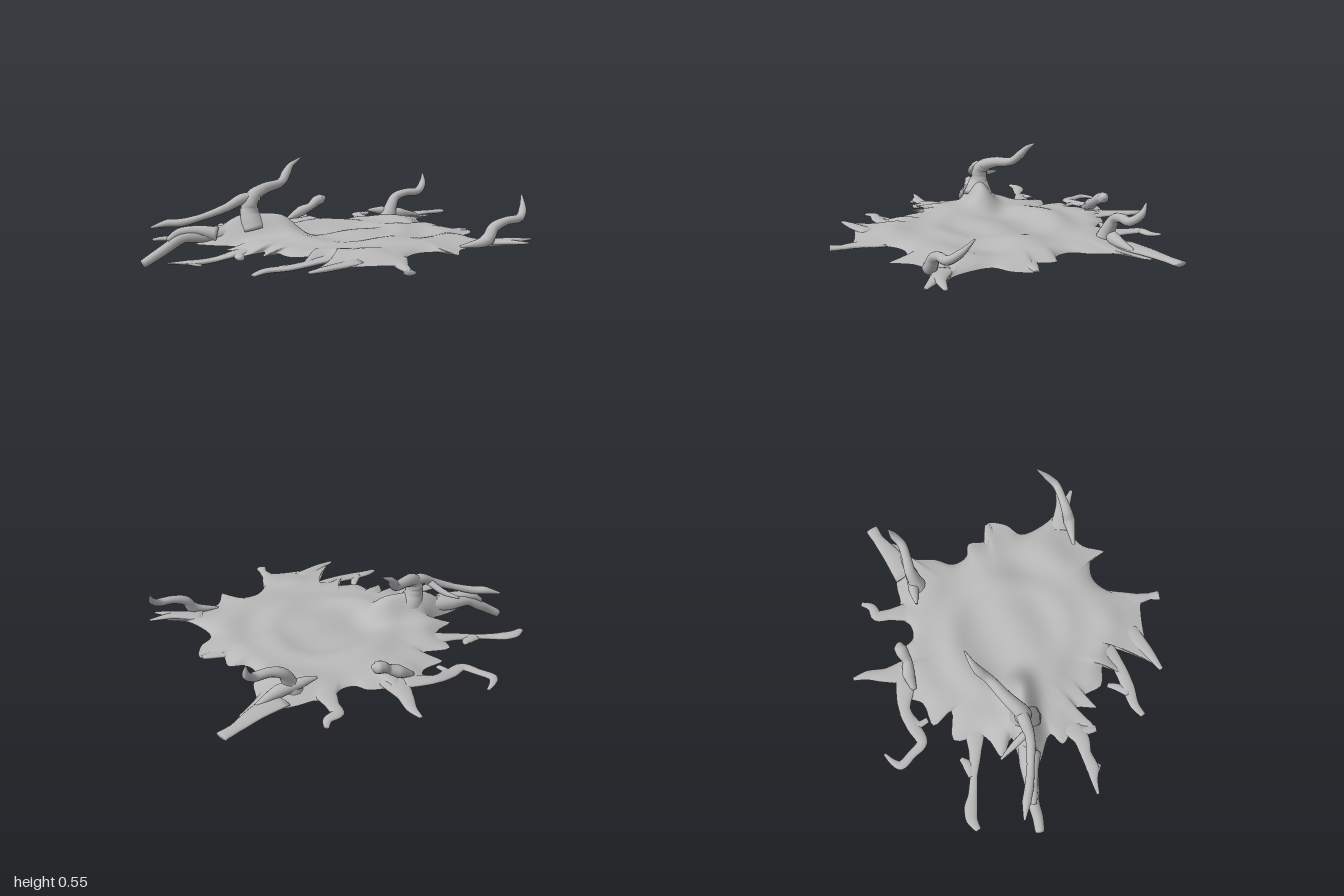
import * as THREE from 'three';

const gray = new THREE.MeshStandardMaterial({ color: 0xb8b8b8 });
gray.name = 'slime gray';

// Rim of the puddle as x, z pairs in hundredths of a unit
const RIM = [
  -8, -78, -4, -62, 7, -59, 12, -54, 20, -55, 25, -62, 29, -66, 33, -60, 43, -61, 56, -62, 66, -66, 72, -62, 61, -51, 59, -38, 55, -28,
  59, -20, 67, -18, 68, -7, 79, -6, 77, 5, 70, 13, 75, 27, 82, 35, 90, 38, 80, 42, 67, 43, 59, 48, 54, 60, 50, 52, 38, 51,
  30, 58, 27, 68, 24, 78, 19, 76, 6, 75, -7, 76, -19, 81, -5, 68, -1, 59, -8, 54, -20, 59, -14, 50, -26, 47, -31, 37, -38, 43,
  -37, 32, -48, 40, -47, 30, -56, 22, -50, 16, -64, 9, -72, 3, -62, -2, -50, -5, -60, -11, -48, -19, -48, -36, -32, -36,
  -39, -46, -26, -51, -22, -59, -12, -64,
];
const CX = 0.08;

const bump = (d, w, p = 2) => Math.exp(-Math.pow(Math.abs(d) / w, p));
const baseY = (x) => 0.14 + 0.018 * x;

// Upper surface: shallow basin, raised lip, soft lumps and the long left ridge
function topY(x, z, t) {
  const r = Math.hypot(x - 0.08, z);
  const lumps = 0.012 * Math.sin(9 * x + 2 * z) * Math.cos(8 * z - 3 * x) + 0.008 * Math.sin(17 * z + 6 * x);
  const lip = 0.02 * bump(r - 0.32, 0.08) + 0.018 * bump(r - 0.55, 0.1);
  const frontHill = 0.025 * bump(x - 0.12, 0.1) * bump(z - 0.58, 0.09);
  const ridge = 0.13 * bump(x + 0.42, 0.25, 4) * bump(z - 0.025, 0.08);
  return baseY(x) + (1 - t ** 6) * (0.024 + lumps + lip + frontHill) + (1 - t ** 10) * ridge;
}

function surface(positions, index) {
  const g = new THREE.BufferGeometry();
  g.setAttribute('position', new THREE.Float32BufferAttribute(positions, 3));
  g.setIndex(index);
  g.computeVertexNormals();
  return g;
}

// One skin of the puddle: rings that blend from a smoothed outline to the ragged rim
function skin(heightAt, up) {
  const pts = [];
  for (let i = 0; i < RIM.length; i += 2) pts.push(new THREE.Vector3(RIM[i] / 100 - CX, 0, RIM[i + 1] / 100));
  const curve = new THREE.CatmullRomCurve3(pts, true, 'centripetal');
  const n = pts.length * 4, rings = 26, reach = 14, pos = [], index = [];
  const rim = Array.from({ length: n }, (_, i) => curve.getPoint(i / n));
  const smooth = rim.map((_, i) => {
    const sum = new THREE.Vector3();
    for (let k = -reach; k <= reach; k++) sum.add(rim[(i + k + n) % n]);
    return sum.divideScalar(2 * reach + 1);
  });
  for (let k = 0; k <= rings; k++) {
    const t = k / rings;
    for (let i = 0; i < n; i++) {
      const p = smooth[i].clone().lerp(rim[i], t ** 4).multiplyScalar(t);
      pos.push(p.x + CX, heightAt(p.x + CX, p.z, t), p.z);
      if (k === rings) continue;
      const a = k * n + i, b = k * n + (i + 1) % n, c = a + n, d = b + n;
      if (up) index.push(a, b, d, a, d, c);
      else index.push(a, d, b, a, c, d);
    }
  }
  return surface(pos, index);
}

// Tapered tendril along [x, y, z, radius] points, at most 2 * maxHalf thick
function tendrilGeometry(points, flat, maxHalf) {
  const curve = new THREE.CatmullRomCurve3(points.map((p) => new THREE.Vector3(p[0], p[1], p[2])), false, 'centripetal');
  const spans = points.length - 1, n = spans * 5, sides = 12, pos = [], index = [];
  const up = new THREE.Vector3(0, 1, 0);
  for (let k = 0; k <= n; k++) {
    const c = curve.getPoint(k / n), dir = curve.getTangent(k / n);
    const side = new THREE.Vector3().crossVectors(dir, up).normalize();
    const nor = new THREE.Vector3().crossVectors(side, dir);
    const s = Math.min(Math.floor(k / 5), spans - 1);
    const r = THREE.MathUtils.lerp(points[s][3], points[s + 1][3], k / 5 - s);
    const h = Math.min(r * flat, maxHalf);
    for (let i = 0; i < sides; i++) {
      const a = (i / sides) * Math.PI * 2;
      const p = c.clone().addScaledVector(side, Math.cos(a) * r).addScaledVector(nor, Math.sin(a) * h);
      pos.push(p.x, p.y, p.z);
      if (k === n) continue;
      const A = k * sides + i, B = k * sides + (i + 1) % sides;
      index.push(A, A + sides, B, B, A + sides, B + sides);
    }
  }
  // Close both ends
  const last = n * sides;
  for (let i = 1; i < sides - 1; i++) index.push(0, i, i + 1, last, last + i + 1, last + i);
  return surface(pos, index);
}

// Arms lying along the ground
const FLAT_ARMS = {
  backArm: [[-0.07, 0.15, -0.56, 0.08], [-0.08, 0.145, -0.7, 0.042], [-0.07, 0.145, -0.8, 0.028], [-0.085, 0.145, -0.88, 0.01]],
  backHookArm: [[0.28, 0.15, -0.55, 0.06], [0.275, 0.15, -0.66, 0.035], [0.275, 0.15, -0.73, 0.034], [0.33, 0.15, -0.76, 0.024], [0.355, 0.15, -0.815, 0.013]],
  backRightArm: [[0.5, 0.16, -0.55, 0.07], [0.64, 0.165, -0.63, 0.05], [0.75, 0.16, -0.7, 0.032], [0.82, 0.16, -0.735, 0.036]],
  backLeftArm: [[-0.12, 0.15, -0.59, 0.06], [-0.28, 0.14, -0.61, 0.032], [-0.38, 0.125, -0.57, 0.036], [-0.47, 0.12, -0.53, 0.03],
    [-0.53, 0.115, -0.59, 0.024], [-0.58, 0.11, -0.65, 0.026], [-0.56, 0.11, -0.69, 0.018], [-0.51, 0.105, -0.735, 0.008]],
  backLeftFork: [[-0.32, 0.13, -0.59, 0.025], [-0.37, 0.125, -0.54, 0.02], [-0.35, 0.125, -0.49, 0.016]],
  upperLeftArm: [[-0.38, 0.135, -0.24, 0.07], [-0.54, 0.125, -0.25, 0.036], [-0.68, 0.11, -0.27, 0.02], [-0.78, 0.1, -0.285, 0.026],
    [-0.84, 0.1, -0.3, 0.036], [-0.9, 0.1, -0.3, 0.032], [-0.96, 0.1, -0.27, 0.016]],
  upperLeftFork: [[-0.68, 0.11, -0.28, 0.02], [-0.62, 0.115, -0.295, 0.03], [-0.58, 0.12, -0.33, 0.012]],
  lowerLeftArm: [[-0.42, 0.13, 0.22, 0.06], [-0.53, 0.125, 0.32, 0.045], [-0.62, 0.105, 0.34, 0.03], [-0.7, 0.1, 0.365, 0.035], [-0.76, 0.1, 0.365, 0.02], [-0.84, 0.1, 0.375, 0.008]],
  lowerLeftFork: [[-0.73, 0.1, 0.365, 0.03], [-0.68, 0.09, 0.405, 0.012]],
  lowerLeftSpur: [[-0.5, 0.125, 0.3, 0.04], [-0.49, 0.12, 0.41, 0.02]],
  frontLeftArm: [[-0.02, 0.145, 0.5, 0.06], [-0.15, 0.13, 0.58, 0.036], [-0.28, 0.115, 0.62, 0.036], [-0.38, 0.11, 0.64, 0.026], [-0.44, 0.1, 0.68, 0.016]],
  frontLeftFork: [[-0.31, 0.115, 0.62, 0.025], [-0.27, 0.11, 0.56, 0.022], [-0.25, 0.1, 0.51, 0.014]],
  frontTip: [[0.04, 0.145, 0.67, 0.05], [-0.1, 0.14, 0.76, 0.03], [-0.2, 0.135, 0.815, 0.012]],
  frontArm: [[0.22, 0.145, 0.6, 0.075], [0.23, 0.14, 0.75, 0.034], [0.24, 0.135, 0.82, 0.022], [0.24, 0.135, 0.875, 0.03]],
  rightArm: [[0.7, 0.16, 0.36, 0.06], [0.86, 0.175, 0.385, 0.03], [0.99, 0.175, 0.375, 0.01]],
  rightFork: [[0.78, 0.165, 0.38, 0.04], [0.87, 0.17, 0.42, 0.025], [0.95, 0.17, 0.46, 0.01]],
  rightSpur: [[0.62, 0.15, -0.04, 0.07], [0.78, 0.155, -0.06, 0.016]],
};

// Tendrils rising from the puddle
const RISING = {
  leftRootArm: [[-0.45, 0.18, 0.03, 0.05], [-0.66, 0.175, 0.025, 0.05], [-0.78, 0.165, 0.03, 0.036], [-0.85, 0.12, 0.03, 0.032],
    [-0.92, 0.075, 0.045, 0.03], [-0.99, 0.03, 0.05, 0.026]],
  tallTendril: [[-0.41, 0.2, 0.03, 0.09], [-0.43, 0.29, 0.02, 0.052], [-0.42, 0.36, 0.01, 0.043], [-0.35, 0.405, -0.06, 0.034], [-0.25, 0.43, -0.14, 0.026],
    [-0.215, 0.48, -0.19, 0.026], [-0.19, 0.515, -0.215, 0.018], [-0.13, 0.555, -0.25, 0.004]],
  leaningTendril: [[-0.38, 0.37, -0.01, 0.03], [-0.47, 0.36, 0.02, 0.034], [-0.55, 0.32, 0.04, 0.026], [-0.68, 0.27, 0.03, 0.02],
    [-0.79, 0.24, 0.01, 0.024], [-0.86, 0.235, -0.01, 0.024], [-0.95, 0.21, -0.03, 0.006]],
  leaningFork: [[-0.52, 0.33, 0.03, 0.022], [-0.58, 0.29, -0.05, 0.018], [-0.64, 0.28, -0.12, 0.006]],
  ridgeSpike: [[-0.6, 0.18, 0.05, 0.045], [-0.7, 0.2, 0.04, 0.03], [-0.8, 0.19, 0.03, 0.026], [-0.86, 0.15, 0.03, 0.016]],
  curledTendril: [[-0.18, 0.155, -0.55, 0.015], [-0.1, 0.2, -0.57, 0.036], [-0.04, 0.23, -0.57, 0.026], [0, 0.26, -0.59, 0.034], [0.03, 0.27, -0.6, 0.034], [0.055, 0.28, -0.6, 0.01]],
  backRightTendril: [[0.42, 0.155, -0.49, 0.06], [0.44, 0.22, -0.5, 0.04], [0.475, 0.285, -0.52, 0.03], [0.54, 0.31, -0.53, 0.026], [0.62, 0.315, -0.55, 0.026],
    [0.66, 0.36, -0.59, 0.022], [0.665, 0.42, -0.61, 0.004]],
  backRightRoot: [[0.3, 0.21, -0.5, 0.008], [0.38, 0.205, -0.51, 0.028], [0.5, 0.185, -0.52, 0.036], [0.62, 0.165, -0.57, 0.012]],
  rightTendril: [[0.6, 0.155, 0.43, 0.008], [0.74, 0.185, 0.42, 0.036], [0.78, 0.245, 0.405, 0.03], [0.85, 0.275, 0.385, 0.024], [0.93, 0.285, 0.36, 0.024],
    [0.965, 0.325, 0.31, 0.02], [0.98, 0.39, 0.25, 0.004]],
};

export function createModel() {
  const group = new THREE.Group();
  const add = (name, geometry) => {
    const mesh = new THREE.Mesh(geometry, gray);
    mesh.name = name;
    group.add(mesh);
  };
  add('puddleTop', skin(topY, true));
  add('puddleUnderside', skin((x, z, t) => baseY(x) - 0.014 * (1 - t ** 4), false));
  for (const [name, points] of Object.entries(FLAT_ARMS)) add(name, tendrilGeometry(points, 0.5, 0.013));
  for (const [name, points] of Object.entries(RISING)) add(name, tendrilGeometry(points, 0.9, 0.1));
  return group;
}
